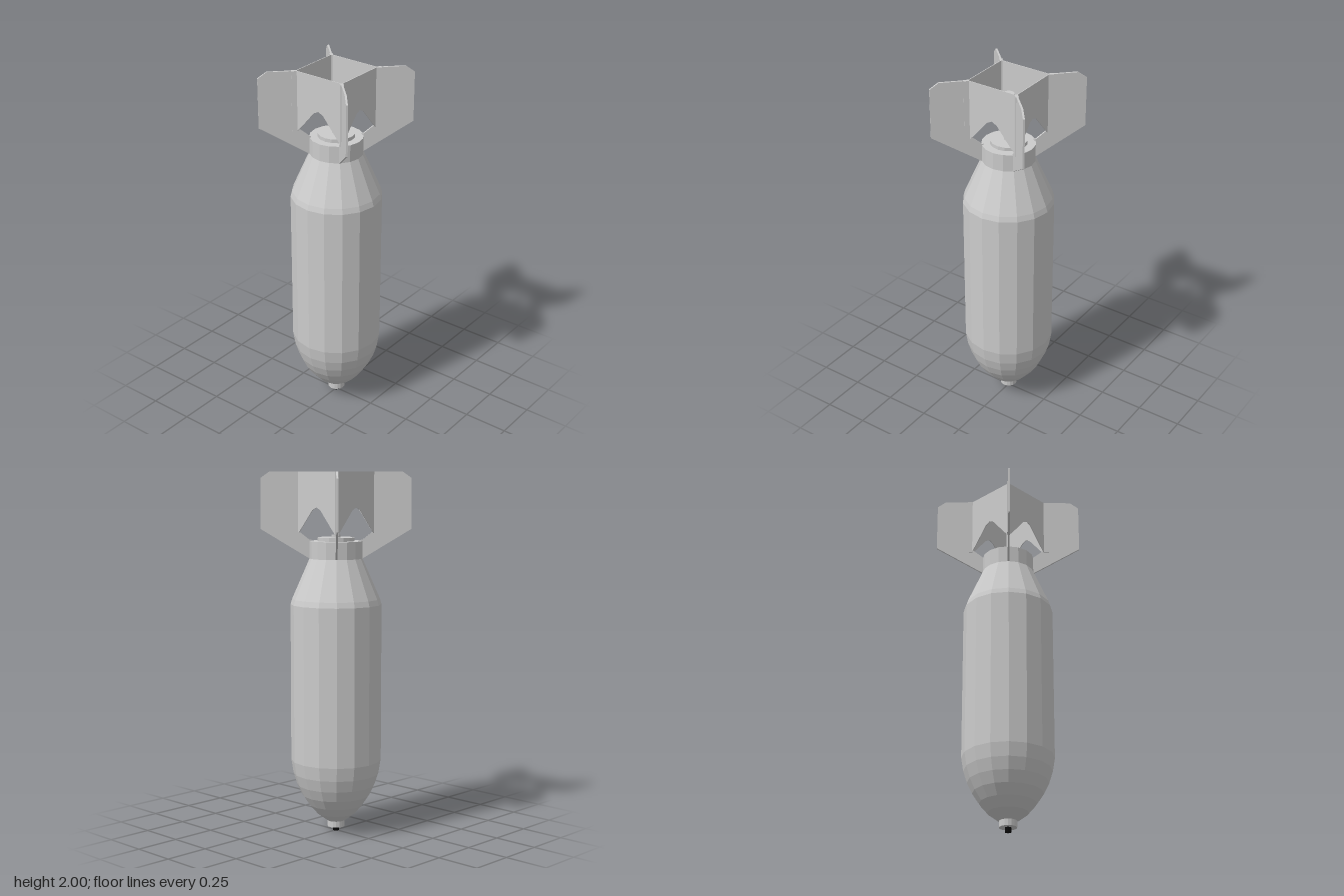
import * as THREE from 'three';

const SIDES = 16;
const grey = new THREE.MeshStandardMaterial({ color: 0xcccccc, flatShading: true });
const black = new THREE.MeshStandardMaterial({ color: 0x0a0a0a, flatShading: true });

function add(parent, name, geometry, material = grey) {
  const mesh = new THREE.Mesh(geometry, material);
  mesh.name = name;
  parent.add(mesh);
  return mesh;
}

// Upright cylinder between two heights
function disc(parent, name, radius, y0, y1, material = grey) {
  const geometry = new THREE.CylinderGeometry(radius, radius, y1 - y0, SIDES);
  geometry.translate(0, (y0 + y1) / 2, 0);
  return add(parent, name, geometry, material);
}

// Flat sheet cut to an outline, centred on its thickness
function sheet(points, thickness) {
  const shape = new THREE.Shape(points.map(([x, y]) => new THREE.Vector2(x, y)));
  const geometry = new THREE.ExtrudeGeometry(shape, { depth: thickness, bevelEnabled: false });
  return geometry.translate(0, 0, -thickness / 2);
}

export function createModel() {
  const model = new THREE.Group();
  model.name = 'finnedCasing';

  // Rounded nose, straight barrel, tapered tail and collar
  const profile = [
    [0, 0.06], [0.05, 0.06], [0.11, 0.105], [0.153, 0.155], [0.19, 0.21],
    [0.218, 0.27], [0.238, 0.335], [0.25, 0.41], [0.25, 1.28], [0.241, 1.31],
    [0.145, 1.53], [0.145, 1.625], [0, 1.625],
  ].map(([r, y]) => new THREE.Vector2(r, y));
  add(model, 'body', new THREE.LatheGeometry(profile, SIDES));

  // Nose fittings
  disc(model, 'noseRing', 0.048, 0.025, 0.065);
  disc(model, 'noseTip', 0.017, 0, 0.03, black);

  // Tail fittings
  disc(model, 'tailCap', 0.1, 1.62, 1.645);
  disc(model, 'rodBase', 0.024, 1.64, 1.66);
  disc(model, 'tailRod', 0.009, 1.65, 1.9);
  disc(model, 'rodCap', 0.03, 1.885, 1.91);

  // Diagonal fins and the square shroud of notched plates between them
  const finGeometry = sheet([
    [0.135, 1.53], [0.145, 1.53], [0.41, 1.69], [0.41, 1.965], [0.362, 2],
    [0.205, 2], [0.205, 1.68], [0.145, 1.632], [0.135, 1.632],
  ], 0.01);
  const plateGeometry = sheet([
    [-0.142, 2], [-0.142, 1.665], [-0.115, 1.695], [-0.03, 1.795], [0, 1.81],
    [0.03, 1.795], [0.115, 1.695], [0.142, 1.665], [0.142, 2],
  ], 0.004);
  const flangeGeometry = new THREE.BoxGeometry(0.03, 0.335, 0.004);

  for (let i = 0; i < 4; i++) {
    const quarter = new THREE.Group();
    quarter.name = 'tailQuarter';
    quarter.rotation.y = i * Math.PI / 2;
    model.add(quarter);

    add(quarter, 'fin', finGeometry).rotation.y = Math.PI / 4;
    add(quarter, 'shroudPlate', plateGeometry).position.z = 0.15;

    // Bent plate ends lying along the fins
    for (const side of [-1, 1]) {
      const flange = add(quarter, 'plateFlange', flangeGeometry);
      flange.position.set(side * 0.151, 1.8325, 0.16);
      flange.rotation.y = -side * Math.PI / 4;
    }
  }
  return model;
}
